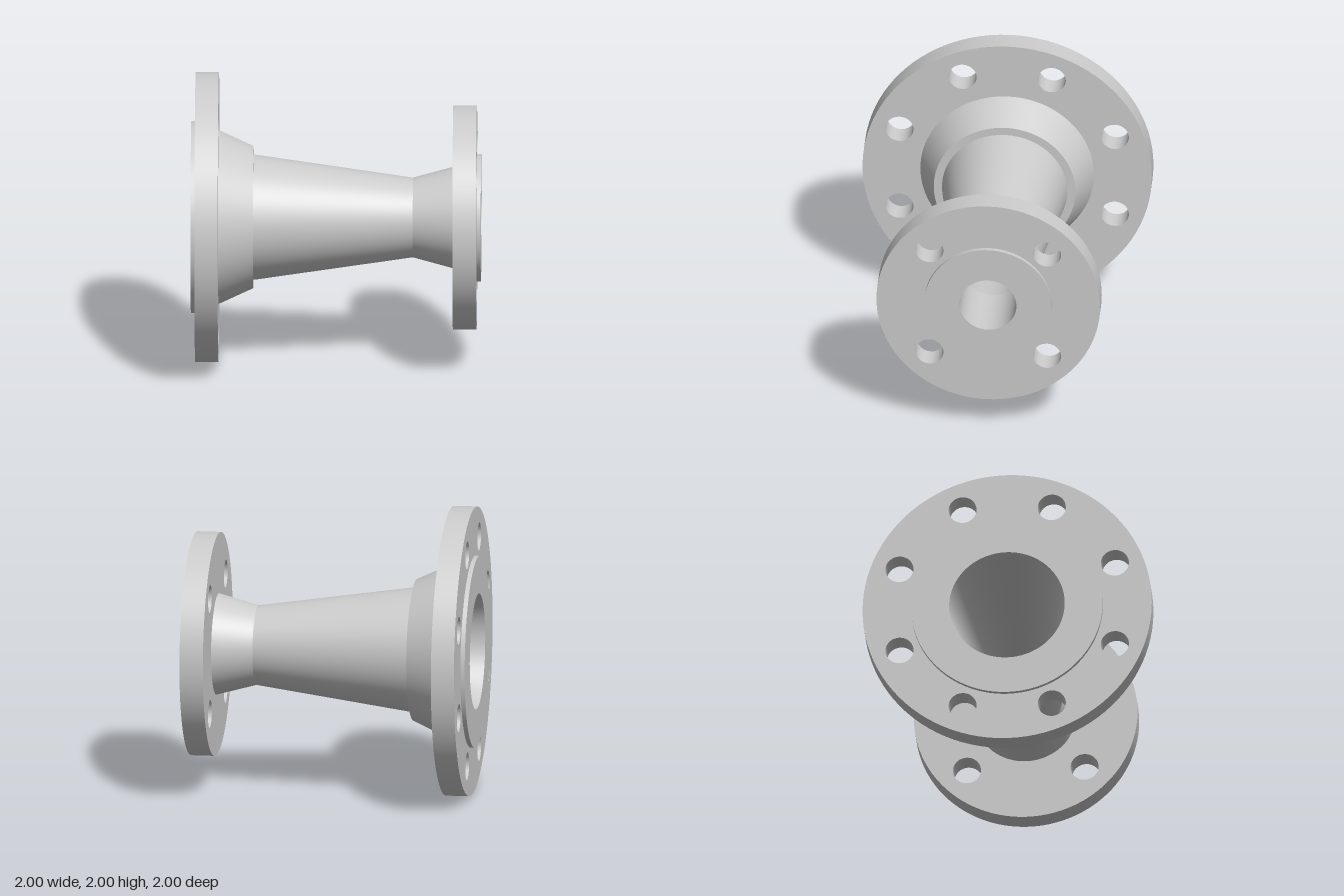
import * as THREE from 'three';
import { mergeGeometries } from 'three/addons/utils/BufferGeometryUtils.js';

const SEGMENTS = 96;
const material = new THREE.MeshStandardMaterial({ color: 0xcccccc });

// Revolves each [radius, height] step on its own so that edges stay sharp.
// Rising steps face outward, falling steps face the axis.
function revolve(points) {
  const p = points.map(([r, y]) => new THREE.Vector2(r, y));
  return mergeGeometries(p.slice(1).map((b, i) => new THREE.LatheGeometry([p[i], b], SEGMENTS)));
}

function boltCentres(count, radius) {
  return Array.from({ length: count }, (_, i) => {
    const a = ((i + 0.5) * 2 * Math.PI) / count;
    return [radius * Math.cos(a), radius * Math.sin(a)];
  });
}

// Flat drilled ring, facing up or down the axis
function drilledRing(outer, inner, y, facing, bolts, boltRadius) {
  const circle = (path, x, z, r) => path.absarc(x, z, r, 0, Math.PI * 2);
  const shape = circle(new THREE.Shape(), 0, 0, outer);
  shape.holes.push(circle(new THREE.Path(), 0, 0, inner));
  for (const [x, z] of bolts) shape.holes.push(circle(new THREE.Path(), x, z, boltRadius));
  return new THREE.ShapeGeometry(shape, SEGMENTS / 2)
    .rotateX((-facing * Math.PI) / 2)
    .translate(0, y, 0);
}

// Rim, two drilled faces and the walls of the bolt holes
function flange({ radius, y0, y1, innerLow, innerHigh, boltCount, boltCircle, boltRadius }) {
  const bolts = boltCentres(boltCount, boltCircle);
  return mergeGeometries([
    revolve([[radius, y0], [radius, y1]]),
    drilledRing(radius, innerLow, y0, -1, bolts, boltRadius),
    drilledRing(radius, innerHigh, y1, 1, bolts, boltRadius),
    ...bolts.map(([x, z]) => revolve([[boltRadius, y1], [boltRadius, y0]]).translate(x, 0, z)),
  ]);
}

export function createModel() {
  const model = new THREE.Group();
  model.name = 'flangedReducer';
  const add = (name, geometry) => {
    const mesh = new THREE.Mesh(geometry, material);
    mesh.name = name;
    model.add(mesh);
  };

  // Flanges
  add('largeFlange', flange({
    radius: 1, y0: -0.97, y1: -0.81, innerLow: 0.663, innerHigh: 0.6,
    boltCount: 8, boltCircle: 0.806, boltRadius: 0.097,
  }));
  add('smallFlange', flange({
    radius: 0.773, y0: 0.807, y1: 0.97, innerLow: 0.35, innerHigh: 0.44,
    boltCount: 4, boltCircle: 0.575, boltRadius: 0.097,
  }));

  // Raised sealing faces
  add('largeRaisedFace', revolve([[0.4, -1], [0.663, -1], [0.663, -0.97]]));
  add('smallRaisedFace', revolve([[0.44, 0.97], [0.44, 1], [0.197, 1]]));

  // Outer body: stepped collar, long taper, flared neck
  add('largeCollar', revolve([[0.6, -0.81], [0.49, -0.57], [0.433, -0.57]]));
  add('taperedBody', revolve([[0.433, -0.57], [0.275, 0.53]]));
  add('smallNeck', revolve([[0.275, 0.53], [0.35, 0.807]]));

  // Inner passage
  add('bore', revolve([[0.197, 1], [0.197, 0.53], [0.4, -1]]));

  // Lay the axis along x
  model.rotation.z = -Math.PI / 2;
  model.position.y = 1;
  const root = new THREE.Group();
  root.add(model);
  return root;
}
